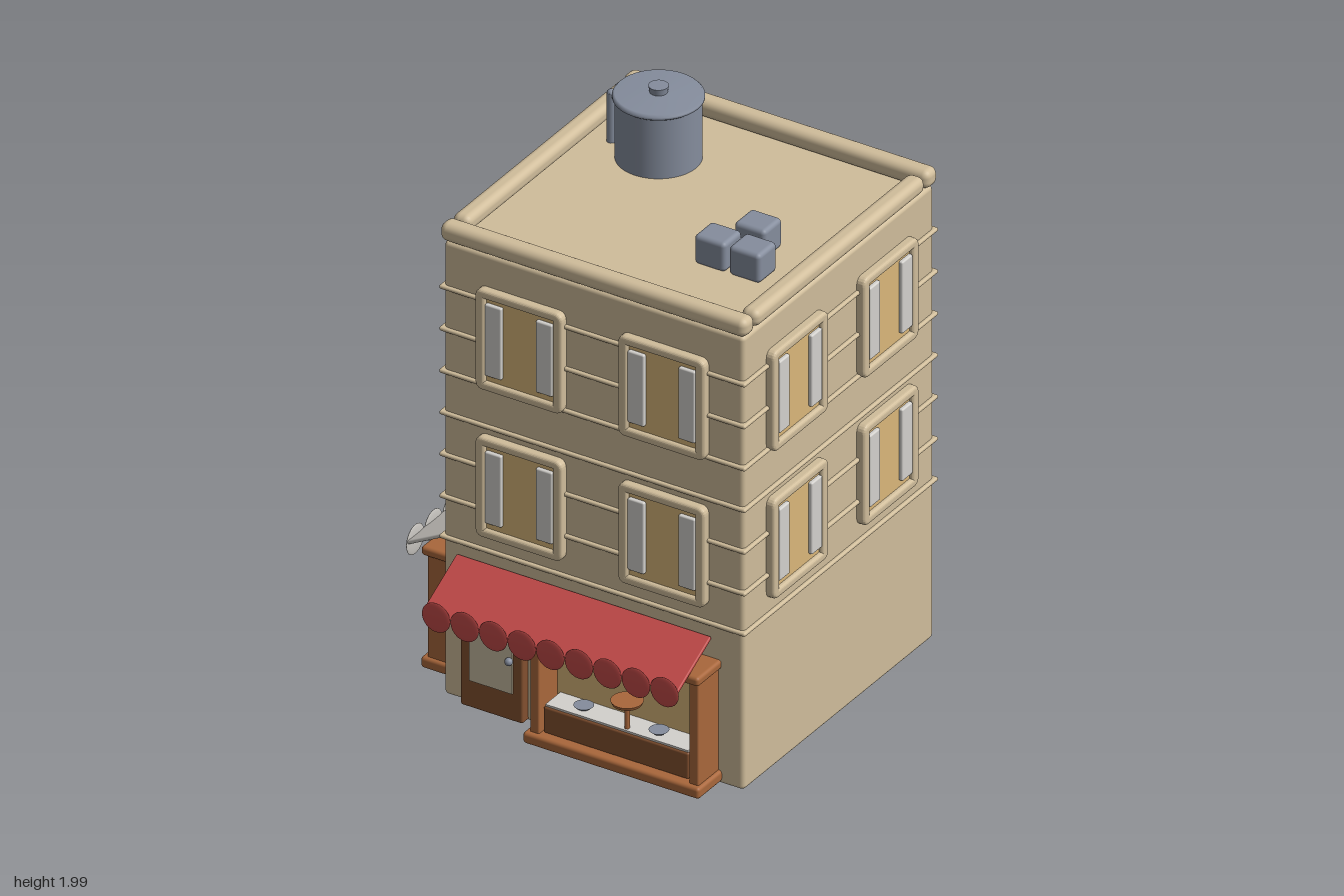
import * as THREE from 'three';
import { RoundedBoxGeometry } from 'three/addons/geometries/RoundedBoxGeometry.js';

const mat = (name, color, side = THREE.FrontSide) => {
  const m = new THREE.MeshStandardMaterial({ color, side });
  m.name = name;
  return m;
};

export function createModel() {
  const wall = mat('sandstone', 0xd0bd9b);
  const red = mat('red canvas', 0xc24a48);
  const grey = mat('pale canvas', 0xc8c5c0);
  const wood = mat('light wood', 0xa9673b);
  const darkWood = mat('dark wood', 0x82502f);
  const glass = mat('warm glass', 0xdab77a);
  const doorGlass = mat('door glass', 0xc9bda2);
  const white = mat('off white', 0xd3d1cd);
  const metal = mat('blue grey metal', 0x858d9d);

  const HALF = 0.578; // half width of the tower
  const root = new THREE.Group();
  root.name = 'cornerShopBuilding';
  const building = new THREE.Group();
  building.name = 'building';
  building.position.set(0.088, 0, -0.092);
  root.add(building);

  function add(parent, name, geometry, material, x, y, z) {
    const mesh = new THREE.Mesh(geometry, material);
    mesh.name = name;
    mesh.position.set(x, y, z);
    parent.add(mesh);
    return mesh;
  }
  // Rounded block given by its centre and size
  const block = (parent, name, m, x, y, z, w, h, d, r = 0.008) =>
    add(parent, name, new RoundedBoxGeometry(w, h, d, 3, r), m, x, y, z);

  // Tower
  block(building, 'tower', wall, 0, 0.87, 0, HALF * 2, 1.72, HALF * 2, 0.016);

  // Parapet: two full bars and two shorter ones between them
  for (const s of [-1, 1]) {
    block(building, 'parapetLong', wall, 0, 1.765, s * 0.556, 1.18, 0.068, 0.07, 0.026);
    block(building, 'parapetShort', wall, s * 0.556, 1.765, 0, 0.068, 0.062, 1.03, 0.026);
  }

  // Thin string courses around all walls
  for (const y of [0.61, 0.763, 0.922, 1.08, 1.238, 1.398, 1.557]) {
    block(building, 'stringCourse', wall, 0, y, 0, HALF * 2 + 0.024, 0.015, HALF * 2 + 0.024, 0.007);
  }

  // Window frame outline with an opening
  function roundedRect(path, w, h, r) {
    const x = w / 2, y = h / 2;
    path.moveTo(-x + r, -y);
    path.lineTo(x - r, -y);
    path.quadraticCurveTo(x, -y, x, -y + r);
    path.lineTo(x, y - r);
    path.quadraticCurveTo(x, y, x - r, y);
    path.lineTo(-x + r, y);
    path.quadraticCurveTo(-x, y, -x, y - r);
    path.lineTo(-x, -y + r);
    path.quadraticCurveTo(-x, -y, -x + r, -y);
    return path;
  }
  const frameShape = roundedRect(new THREE.Shape(), 0.312, 0.357, 0.018);
  frameShape.holes.push(roundedRect(new THREE.Path(), 0.284, 0.336, 0.006));
  const frameGeometry = new THREE.ExtrudeGeometry(frameShape, {
    depth: 0.02, bevelEnabled: true, bevelThickness: 0.011, bevelSize: 0.0115, bevelSegments: 4, curveSegments: 5,
  });

  function addWindow(parent, x, y) {
    const win = new THREE.Group();
    win.name = 'window';
    win.position.set(x, y, HALF);
    parent.add(win);
    add(win, 'windowFrame', frameGeometry, wall, 0, 0, 0);
    add(win, 'windowPane', new THREE.BoxGeometry(0.28, 0.33, 0.016), glass, 0, 0, 0.007);
    for (const s of [-1, 1]) {
      block(win, 'curtain', white, s * 0.098, 0.004, 0.02, 0.064, 0.272, 0.018, 0.006);
    }
  }

  // Four upper walls, two rows of two windows each
  const sides = [0, 1, 2, 3].map((i) => {
    const side = new THREE.Group();
    side.name = ['frontSide', 'leftSide', 'backSide', 'rightSide'][i];
    side.rotation.y = -i * Math.PI / 2;
    building.add(side);
    for (const x of [-0.273, 0.277]) for (const y of [0.86, 1.42]) addWindow(side, x, y);
    return side;
  });

  function addShop(side, canvas) {
    const shop = new THREE.Group();
    shop.name = 'shopFront';
    shop.position.z = HALF;
    side.add(shop);

    // Door
    block(shop, 'door', darkWood, -0.372, 0.23, 0.01, 0.24, 0.43, 0.05);
    add(shop, 'doorPane', new THREE.BoxGeometry(0.165, 0.31, 0.008), doorGlass, -0.372, 0.275, 0.036);
    add(shop, 'doorKnob', new THREE.SphereGeometry(0.014, 16, 12), metal, -0.298, 0.245, 0.047);

    // Display window frame
    block(shop, 'windowSill', wood, 0.155, 0.042, 0.068, 0.68, 0.042, 0.15, 0.012);
    block(shop, 'windowLintel', wood, 0.158, 0.464, 0.068, 0.67, 0.034, 0.15, 0.012);
    for (const x of [-0.15, 0.464]) {
      block(shop, 'windowPost', wood, x, 0.255, 0.06, 0.036, 0.4, 0.128, 0.006);
    }
    add(shop, 'displayBack', new THREE.BoxGeometry(0.59, 0.385, 0.008), glass, 0.157, 0.255, 0.006);

    // Counter with plates and a small round stand
    block(shop, 'counter', darkWood, 0.155, 0.113, 0.06, 0.56, 0.1, 0.1);
    add(shop, 'counterTop', new THREE.BoxGeometry(0.55, 0.008, 0.092), white, 0.155, 0.166, 0.058);
    for (const x of [0.0, 0.29]) {
      add(shop, 'plate', new THREE.CylinderGeometry(0.034, 0.02, 0.012, 24), metal, x, 0.178, 0.06);
    }
    add(shop, 'standPole', new THREE.CylinderGeometry(0.009, 0.009, 0.11, 12), wood, 0.185, 0.215, 0.088);
    add(shop, 'standTop', new THREE.CylinderGeometry(0.055, 0.05, 0.012, 24), wood, 0.185, 0.27, 0.088);

    // Sloping awning with a scalloped edge
    const awning = block(shop, 'awning', canvas, -0.03, 0.507, 0.113, 0.98, 0.014, 0.235, 0.005);
    awning.rotation.x = Math.atan2(0.105, 0.2);
    for (let i = 0; i < 9; i++) {
      const scallop = add(shop, 'scallop', new THREE.SphereGeometry(0.055, 24, 12), canvas, -0.47 + i * 0.11, 0.443, 0.216);
      scallop.scale.z = 0.11;
    }
  }
  addShop(sides[0], red);
  addShop(sides[1], grey);

  // Roof tank
  const tank = new THREE.Group();
  tank.name = 'roofTank';
  tank.position.set(-0.185, 1.725, -0.34);
  root.add(tank);
  add(tank, 'tankBody', new THREE.CylinderGeometry(0.144, 0.144, 0.23, 40), metal, 0, 0.115, 0);
  const lid = [[0, 0.226], [0.144, 0.226], [0.152, 0.232], [0.152, 0.24], [0.144, 0.248], [0, 0.252]];
  add(tank, 'tankLid', new THREE.LatheGeometry(lid.map(([x, y]) => new THREE.Vector2(x, y)), 40), metal, 0, 0, 0);
  add(tank, 'lidKnob', new THREE.CylinderGeometry(0.034, 0.03, 0.026, 24), metal, 0, 0.262, 0);
  add(tank, 'pipe', new THREE.CylinderGeometry(0.016, 0.016, 0.19, 16), metal, -0.182, 0.095, 0);
  add(tank, 'pipeCap', new THREE.SphereGeometry(0.016, 16, 12), metal, -0.182, 0.185, 0);
  const elbow = add(tank, 'pipeElbow', new THREE.CylinderGeometry(0.014, 0.014, 0.06, 16), metal, -0.155, 0.183, 0);
  elbow.rotation.z = Math.PI / 2;

  // Roof vents
  for (const [x, z] of [[0.4, -0.022], [0.333, 0.116], [0.467, 0.116]]) {
    block(root, 'roofVent', metal, x, 1.783, z, 0.12, 0.11, 0.11, 0.016);
  }
  return root;
}
